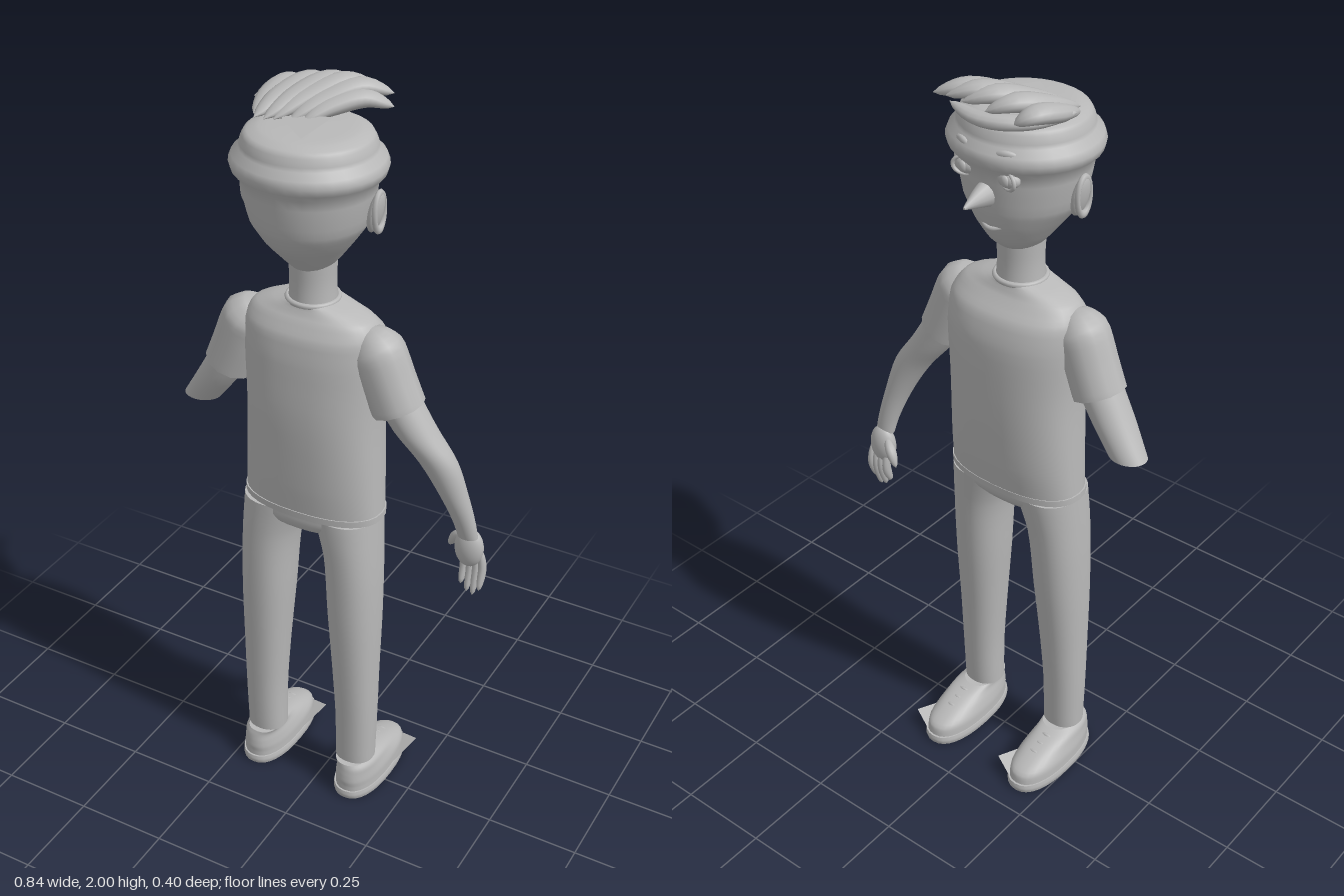
import * as THREE from 'three';

const grey = new THREE.MeshStandardMaterial({ color: 0xb8b8b8, side: THREE.DoubleSide });
grey.name = 'plain grey';
const V = (x, y, z) => new THREE.Vector3(x, y, z);
const CX = -0.037; // middle line of the body

function add(parent, name, geometry) {
  const mesh = new THREE.Mesh(geometry, grey);
  mesh.name = name;
  parent.add(mesh);
  return mesh;
}

// Capped skin over a list of rings, each ring given as centre, two axes
function skin(rings, seg, square = 1) {
  const pos = [], idx = [];
  const bend = (c) => Math.sign(c) * Math.abs(c) ** square;
  const ringPoint = (r, j) => {
    const a = (j / seg) * Math.PI * 2;
    return r.c.clone().addScaledVector(r.u, bend(Math.cos(a))).addScaledVector(r.v, bend(Math.sin(a)));
  };
  const put = (p) => pos.push(p.x, p.y, p.z) / 3 - 1;
  rings.forEach((r) => { for (let j = 0; j < seg; j++) put(ringPoint(r, j)); });
  for (let i = 0; i < rings.length - 1; i++) for (let j = 0; j < seg; j++) {
    const k = (j + 1) % seg, a = i * seg + j, b = i * seg + k;
    idx.push(a, b, a + seg, b, b + seg, a + seg);
  }
  [rings[0], rings[rings.length - 1]].forEach((r, end) => {
    const mid = put(r.c), first = mid + 1;
    for (let j = 0; j < seg; j++) put(ringPoint(r, j));
    for (let j = 0; j < seg; j++) {
      const a = first + j, b = first + (j + 1) % seg;
      if (end) idx.push(mid, a, b); else idx.push(mid, b, a);
    }
  });
  const g = new THREE.BufferGeometry();
  g.setAttribute('position', new THREE.Float32BufferAttribute(pos, 3));
  g.setIndex(idx);
  g.computeVertexNormals();
  return g;
}

// Level cross-sections, bottom to top: [x, y, z, half width, half depth]
function stack(rows, square = 1, seg = 32) {
  const centre = new THREE.CatmullRomCurve3(rows.map((r) => V(r[0], r[1], r[2])));
  const size = new THREE.CatmullRomCurve3(rows.map((r) => V(r[3], r[4], 0)));
  const n = (rows.length - 1) * 4, rings = [];
  for (let i = 0; i <= n; i++) {
    const s = size.getPoint(i / n);
    rings.push({ c: centre.getPoint(i / n), u: V(s.x, 0, 0), v: V(0, 0, -s.y) });
  }
  return skin(rings, seg, square);
}

// Rounded strand along a path, with a radius rule from 0 to 1
function strand(points, w, h, ref = V(0, 1, 0), rule = (t) => Math.sin(Math.PI * t) ** 0.6) {
  const curve = new THREE.CatmullRomCurve3(points.map((p) => V(...p)));
  const n = 14, rings = [];
  for (let i = 0; i <= n; i++) {
    const t = i / n, T = curve.getTangent(t), k = Math.max(0.01, rule(t));
    const u = ref.clone().cross(T).normalize(), v = T.clone().cross(u);
    rings.push({ c: curve.getPoint(t), u: u.multiplyScalar(w * k), v: v.multiplyScalar(h * k) });
  }
  return skin(rings, 12);
}

function ball(parent, name, p, s) {
  const m = add(parent, name, new THREE.SphereGeometry(1, 24, 16));
  m.position.set(...p);
  m.scale.set(...s);
  return m;
}

function buildHead(g) {
  add(g, 'skull', stack([
    [CX, 1.568, 0.02, 0.045, 0.05], [CX, 1.6, 0.018, 0.072, 0.085], [CX, 1.65, 0.026, 0.11, 0.122],
    [CX, 1.7, 0.032, 0.143, 0.142], [CX, 1.8, 0.034, 0.163, 0.156], [CX, 1.87, 0.034, 0.163, 0.156],
    [CX, 1.905, 0.034, 0.15, 0.143], [CX, 1.918, 0.034, 0.115, 0.11], [CX, 1.923, 0.034, 0.02, 0.02]]));
  add(g, 'nose', strand([[CX, 1.745, -0.08], [CX, 1.742, -0.14], [CX, 1.737, -0.188]], 0.036, 0.042,
    V(0, 1, 0), (t) => 1 - 0.92 * t));
  add(g, 'mouth', strand([[CX - 0.045, 1.662, -0.082], [CX, 1.652, -0.1], [CX + 0.045, 1.662, -0.082]], 0.005, 0.006));
  for (const s of [-1, 1]) {
    const ear = ball(g, 'ear', [CX + s * 0.165, 1.738, 0.02], [0.015, 0.053, 0.028]);
    ear.rotation.z = -s * 0.2;
    const rim = add(g, 'earRim', new THREE.TorusGeometry(0.03, 0.007, 8, 24));
    rim.position.set(CX + s * 0.174, 1.74, 0.02);
    rim.scale.set(0.8, 1.5, 1);
    rim.rotation.set(0, Math.PI / 2, 0);
    // Eye with lids, iris and brow
    ball(g, 'eye', [CX + s * 0.06, 1.795, -0.105], [0.03, 0.021, 0.018]);
    ball(g, 'iris', [CX + s * 0.06, 1.795, -0.119], [0.012, 0.014, 0.007]);
    const lid = add(g, 'eyelid', new THREE.TorusGeometry(0.029, 0.005, 8, 24));
    lid.position.set(CX + s * 0.06, 1.795, -0.111);
    lid.scale.y = 0.75;
    lid.rotation.y = -s * -0.35;
    add(g, 'eyebrow', strand([[CX + s * 0.02, 1.846, -0.124], [CX + s * 0.06, 1.86, -0.118],
      [CX + s * 0.105, 1.845, -0.09]], 0.007, 0.009));
  }
}

function buildHair(g) {
  // Swept locks: back end x, z, front end x, z, width, peak height
  [[-0.172, 0.05, -0.125, -0.125, 0.034, 1.958], [-0.16, 0.07, -0.055, -0.135, 0.032, 1.972],
    [-0.135, 0.07, 0.005, -0.14, 0.032, 1.98], [-0.115, 0.06, 0.05, -0.14, 0.032, 1.982],
    [-0.08, 0.05, 0.09, -0.135, 0.032, 1.977], [-0.05, 0.045, 0.108, -0.1, 0.03, 1.96]]
    .forEach(([x0, z0, x1, z1, w, top]) => {
      const at = (t, y, lean) => [x0 + (x1 - x0) * t - lean, y, z0 + (z1 - z0) * t - lean];
      add(g, 'hairLock', strand([at(0, 1.924, 0), at(0.35, (top + 1.935) / 2, 0.015),
        at(0.72, top, 0.015), at(1, top - 0.018, 0)], w, 0.022));
    });
  // Fringe over the forehead and a lock at the side
  add(g, 'fringe', strand([[-0.185, 1.925, 0.02], [-0.13, 1.935, -0.095], [-0.04, 1.935, -0.135],
    [0.06, 1.94, -0.115]], 0.025, 0.018));
  add(g, 'sideTuft', strand([[-0.2, 1.945, 0], [-0.17, 1.938, -0.03], [-0.13, 1.945, -0.07]], 0.018, 0.015));
  // Flat point on the crown
  const tip = new THREE.BufferGeometry().setFromPoints([V(-0.105, 1.93, 0.045), V(-0.007, 1.922, 0.123), V(0.015, 1.94, 0.015)]);
  tip.computeVertexNormals();
  add(g, 'crownPoint', tip);
}

function buildTorso(g) {
  add(g, 'neck', stack([[CX, 1.45, 0.018, 0.062, 0.062], [CX, 1.53, 0.018, 0.057, 0.057], [CX, 1.6, 0.018, 0.06, 0.06]]));
  add(g, 'shirt', stack([
    [-0.034, 0.902, 0.016, 0.19, 0.1], [-0.034, 1.0, 0.013, 0.185, 0.113], [-0.034, 1.2, 0.011, 0.178, 0.125],
    [-0.035, 1.34, 0.008, 0.184, 0.122], [-0.036, 1.41, 0.012, 0.182, 0.108], [-0.036, 1.45, 0.018, 0.158, 0.08],
    [CX, 1.472, 0.018, 0.11, 0.066], [CX, 1.485, 0.018, 0.066, 0.062]], 0.85));
  const collar = add(g, 'collar', new THREE.TorusGeometry(0.062, 0.007, 8, 32));
  collar.position.set(CX, 1.484, 0.018);
  collar.rotation.x = Math.PI / 2;
  add(g, 'hem', stack([[-0.034, 0.9, 0.016, 0.193, 0.103], [-0.034, 0.918, 0.016, 0.193, 0.104]], 0.85));
}

function buildArm(g, s) {
  // Distances are from the middle line; only one arm has its lower half
  const X = (d) => CX + s * d;
  add(g, 'sleeve', strand([[X(0.145), 1.438, 0.025], [X(0.178), 1.385, 0.024], [X(0.208), 1.31, 0.022],
    [X(0.236), 1.242, 0.02]], 0.068, 0.067, V(0, 0, 1), (t) => Math.min(1, 0.1 + Math.sqrt(t * 2.6))));
  const lower = [[0.408, 0.885, -0.04, 0.027, 0.02], [0.4, 0.93, -0.032, 0.029, 0.025], [0.378, 1.01, -0.015, 0.036, 0.033]];
  const upper = [[0.337, 1.11, 0.002, 0.05, 0.042], [0.28, 1.19, 0.014, 0.056, 0.052], [0.225, 1.28, 0.02, 0.058, 0.056]];
  add(g, 'arm', stack((s > 0 ? [...lower, ...upper] : upper).map(([d, ...r]) => [X(d), ...r])));
}

function buildHand(g) {
  ball(g, 'palm', [0.372, 0.845, -0.05], [0.039, 0.056, 0.027]);
  for (let i = 0; i < 4; i++) {
    const x = 0.352 + i * 0.017, end = [0.728, 0.708, 0.702, 0.722][i];
    add(g, 'finger', strand([[x, 0.84, -0.055], [x + 0.004, 0.78, -0.06], [x + 0.003, end, -0.045]],
      0.0105, 0.013, V(0, 0, 1), (t) => Math.sin(Math.PI * t) ** 0.35));
  }
  add(g, 'thumb', strand([[0.355, 0.875, -0.055], [0.325, 0.85, -0.073], [0.303, 0.812, -0.08]], 0.014, 0.014, V(0, 0, 1)));
}

function buildLeg(g, s) {
  const X = (d) => CX + s * d;
  add(g, 'trouserLeg', stack([
    [X(0.14), 0.108, 0.04, 0.054, 0.05], [X(0.141), 0.25, 0.039, 0.056, 0.055], [X(0.137), 0.4, 0.037, 0.061, 0.063],
    [X(0.13), 0.6, 0.032, 0.069, 0.077], [X(0.121), 0.78, 0.026, 0.073, 0.086], [X(0.1), 0.9, 0.018, 0.088, 0.094]], 0.9));
  add(g, 'ankle', stack([[X(0.14), 0.06, 0.04, 0.04, 0.04], [X(0.14), 0.13, 0.04, 0.04, 0.04]]));
  // Shoe: sole, upper, laces and the loose corner of the sole
  const x = X(0.147);
  add(g, 'sole', stack([[x, 0, -0.034, 0.068, 0.152], [x, 0.012, -0.034, 0.07, 0.155], [x, 0.024, -0.034, 0.068, 0.153]], 0.85));
  add(g, 'shoeUpper', stack([
    [x, 0.02, -0.034, 0.065, 0.148], [x, 0.05, -0.03, 0.064, 0.146], [x, 0.075, -0.008, 0.058, 0.122],
    [x, 0.095, 0.018, 0.052, 0.092], [X(0.14), 0.108, 0.04, 0.046, 0.066]], 0.85));
  for (let i = 0; i < 3; i++) {
    const z = -0.04 - i * 0.028, y = 0.1 - i * 0.009;
    add(g, 'lace', strand([[x - 0.035, y - 0.012, z], [x, y, z - 0.008], [x + 0.035, y - 0.012, z]], 0.005, 0.005));
  }
  const flap = new THREE.BufferGeometry().setFromPoints([V(x + 0.02, 0.02, -0.178), V(x + 0.055, 0.015, -0.02), V(x + 0.088, 0.045, -0.15)]);
  flap.computeVertexNormals();
  add(g, 'soleCorner', flap);
}

export function createModel() {
  const model = new THREE.Group();
  model.name = 'standingMan';
  const part = (name, build) => {
    const g = new THREE.Group();
    g.name = name;
    build(g);
    model.add(g);
  };
  part('head', buildHead);
  part('hair', buildHair);
  part('torso', buildTorso);
  part('hips', (g) => add(g, 'trouserSeat', stack([
    [CX, 0.838, 0.022, 0.07, 0.05], [CX, 0.855, 0.021, 0.13, 0.08], [CX, 0.88, 0.018, 0.178, 0.094],
    [-0.035, 0.915, 0.016, 0.185, 0.097]], 0.85)));
  for (const s of [-1, 1]) {
    part(s > 0 ? 'leftArm' : 'rightArm', (g) => buildArm(g, s));
    part(s > 0 ? 'leftLeg' : 'rightLeg', (g) => buildLeg(g, s));
  }
  part('hand', buildHand);
  return model;
}
